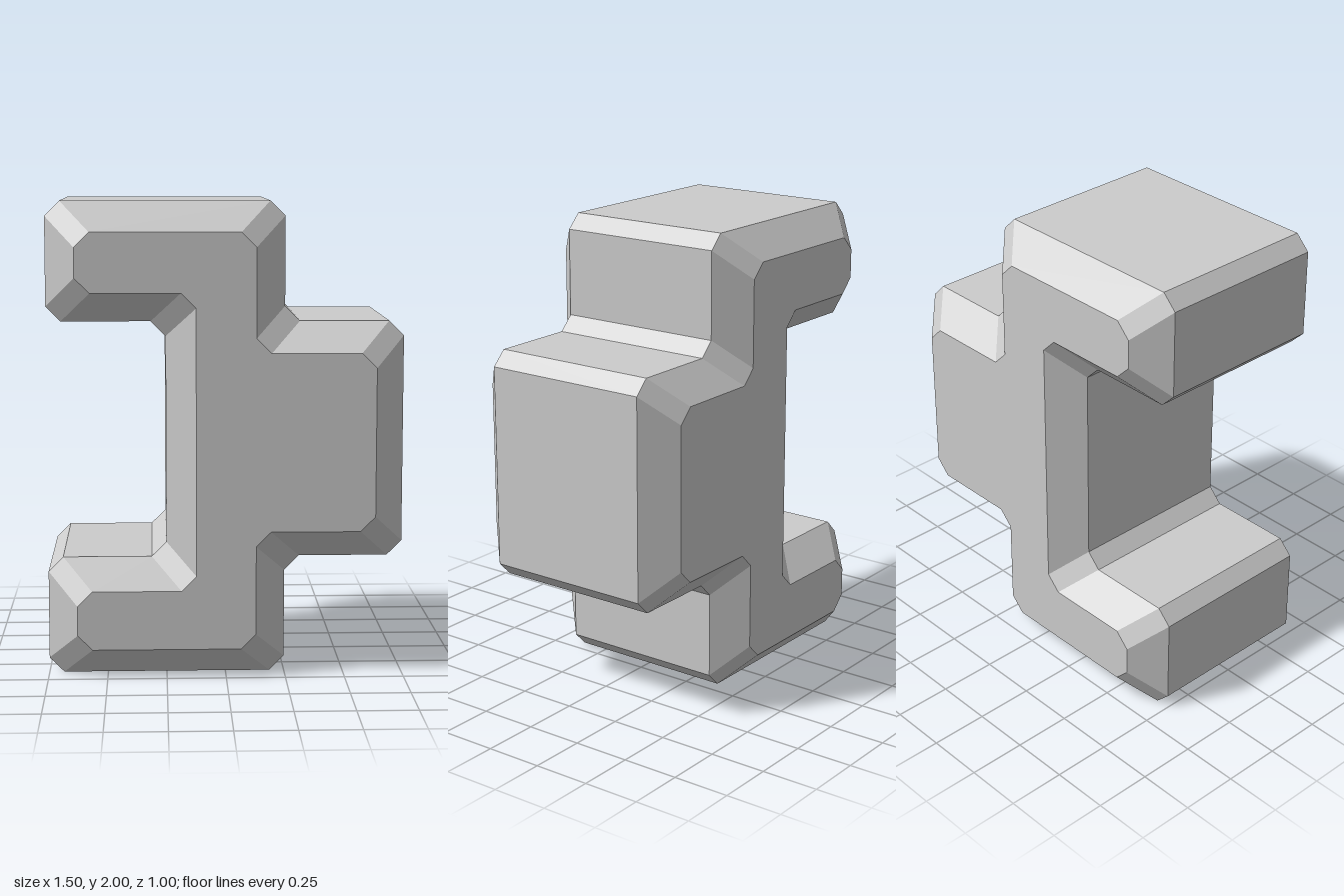
import * as THREE from 'three';

// Square-cornered outline, counter-clockwise seen from the front
const OUTLINE = [
  [-0.75, 0], [0.25, 0], [0.25, 0.5], [0.75, 0.5], [0.75, 1.5], [0.25, 1.5],
  [0.25, 2], [-0.75, 2], [-0.75, 1.5], [-0.25, 1.5], [-0.25, 0.5], [-0.75, 0.5],
].map(([x, y]) => new THREE.Vector2(x, y));
const CUT = 0.0625;    // corner chamfer
const BEVEL = 0.125;   // face bevel, both inward and in depth
const HALF_DEPTH = 0.5;

const direction = (a, b) => b.clone().sub(a).normalize();

// Moves every corner inward, then splits it into the two ends of its chamfer
function chamferedOutline(inset) {
  const n = OUTLINE.length;
  return OUTLINE.flatMap((p, i) => {
    const before = direction(OUTLINE[(i + n - 1) % n], p);
    const after = direction(p, OUTLINE[(i + 1) % n]);
    const corner = new THREE.Vector2(
      p.x - inset * (before.y + after.y),
      p.y + inset * (before.x + after.x),
    );
    return [
      corner.clone().addScaledVector(before, -CUT),
      corner.clone().addScaledVector(after, CUT),
    ];
  });
}

function bevelledBlock() {
  const outer = chamferedOutline(0);
  const inner = chamferedOutline(BEVEL);
  const shoulder = HALF_DEPTH - BEVEL;
  // Cross-sections from back to front
  const sections = [
    [inner, -HALF_DEPTH], [outer, -shoulder], [outer, shoulder], [inner, HALF_DEPTH],
  ];
  const n = outer.length;
  const positions = sections.flatMap(([loop, z]) => loop.flatMap((p) => [p.x, p.y, z]));
  const index = [];

  // Sides and bevels
  for (let s = 0; s < sections.length - 1; s++) {
    for (let i = 0; i < n; i++) {
      const a = s * n + i;
      const b = s * n + (i + 1) % n;
      index.push(a, b, b + n, a, b + n, a + n);
    }
  }

  // Back and front faces
  const front = (sections.length - 1) * n;
  for (const [a, b, c] of THREE.ShapeUtils.triangulateShape(inner, [])) {
    index.push(c, b, a, front + a, front + b, front + c);
  }

  const indexed = new THREE.BufferGeometry();
  indexed.setAttribute('position', new THREE.Float32BufferAttribute(positions, 3));
  indexed.setIndex(index);
  const geometry = indexed.toNonIndexed();
  geometry.computeVertexNormals();
  return geometry;
}

export function createModel() {
  const group = new THREE.Group();
  const material = new THREE.MeshStandardMaterial({ color: 0xcccccc, flatShading: true });
  const block = new THREE.Mesh(bevelledBlock(), material);
  block.name = 'bevelledBlock';
  group.add(block);
  return group;
}
